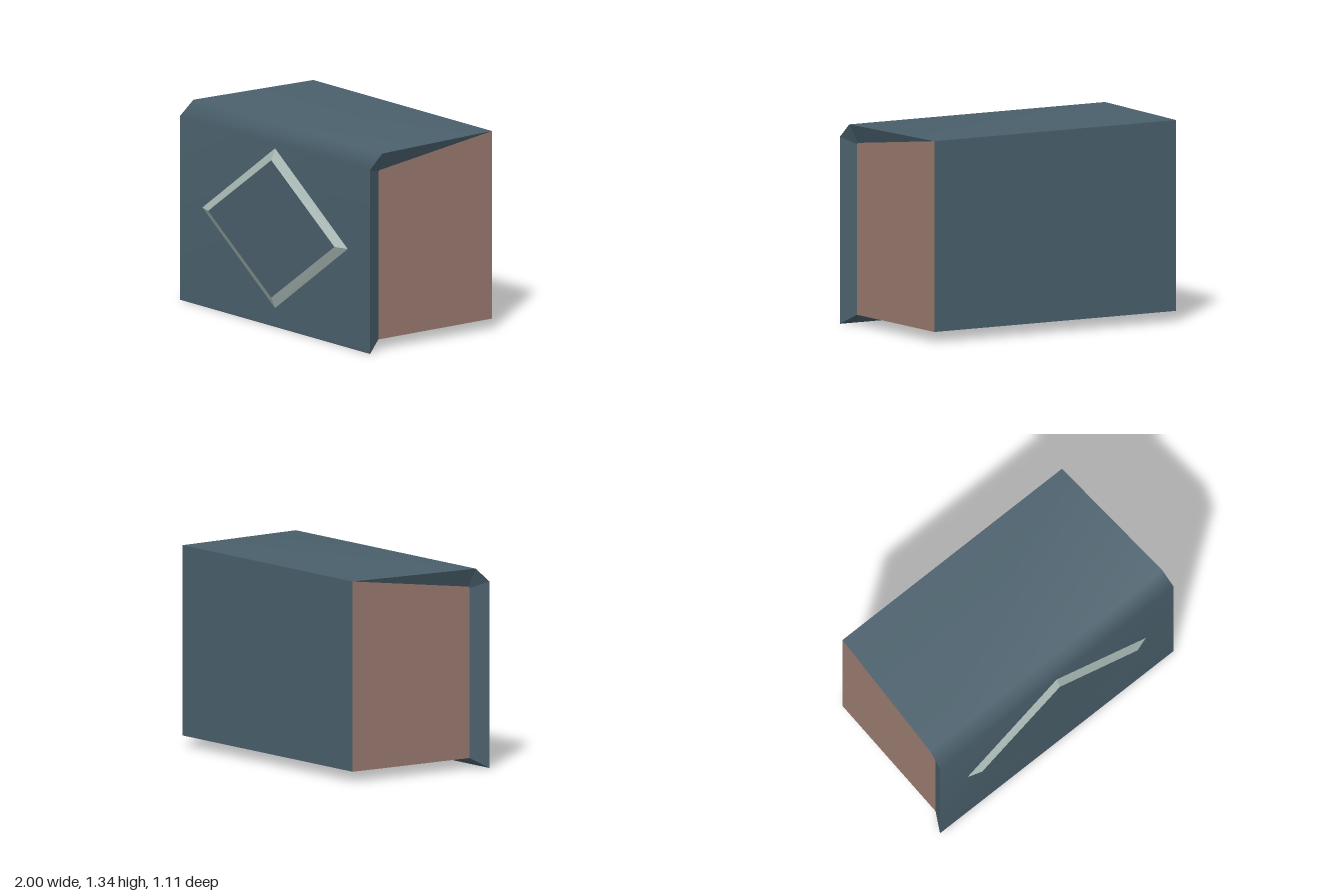
import * as THREE from 'three';

const V = (x, y, z) => [x, y, z];
const mirror = (poly) => poly.map(([x, y, z]) => [-x, y, z]).reverse();

// Flat faces from convex polygons, corners counter-clockwise seen from outside
function facesGeometry(polys) {
  const pos = [];
  for (const p of polys)
    for (let i = 1; i < p.length - 1; i++) pos.push(...p[0], ...p[i], ...p[i + 1]);
  const g = new THREE.BufferGeometry();
  g.setAttribute('position', new THREE.Float32BufferAttribute(pos, 3));
  g.computeVertexNormals();
  return g;
}

// Smooth sheet spanning -x to +x along a profile of points
function sheetGeometry(rows) {
  const pos = [], index = [];
  rows.forEach(([x, y, z], i) => {
    pos.push(-x, y, z, x, y, z);
    const a = i * 2;
    if (i < rows.length - 1) index.push(a, a + 1, a + 3, a, a + 3, a + 2);
  });
  const g = new THREE.BufferGeometry();
  g.setAttribute('position', new THREE.Float32BufferAttribute(pos, 3));
  g.setIndex(index);
  g.computeVertexNormals();
  return g;
}

export function createModel() {
  const group = new THREE.Group();
  const material = (name, color) => {
    const m = new THREE.MeshStandardMaterial({ color });
    m.name = name;
    return m;
  };
  const blue = material('slate blue', 0x4a606c);
  const brown = material('dusty brown', 0x9a7b70);
  const pale = material('pale grey green', 0xaabbb6);
  const add = (name, geometry, mat) => {
    const mesh = new THREE.Mesh(geometry, mat);
    mesh.name = name;
    group.add(mesh);
  };

  // Flared cover edge and the narrower box edge behind it (+x half)
  const outer = [V(1, 0, 0.523), V(1, 1.245, 0.523), V(0.994, 1.34, 0.415), V(0.94, 1.34, -0.555)];
  const inner = [V(0.94, 0.07, 0.405), V(0.94, 1.205, 0.405), V(0.94, 1.215, 0.395), V(0.94, 1.34, -0.555)];
  const backLow = V(0.94, 0.07, -0.555), backHigh = inner[3];
  const flip = ([x, y, z]) => [-x, y, z];

  // Front, chamfered upper edge and top in one smooth sheet
  add('cover', sheetGeometry(outer), blue);

  // Flared rim joining the cover to the sides and the base
  const rim = [];
  for (let i = 0; i < 3; i++) {
    const quad = i < 2
      ? [outer[i], inner[i], inner[i + 1], outer[i + 1]]
      : [outer[2], inner[2], inner[3]];
    rim.push(quad, mirror(quad));
  }
  rim.push([outer[0], flip(outer[0]), flip(inner[0]), inner[0]]);
  add('rim', facesGeometry(rim), blue);

  // Back panel
  add('backPanel', facesGeometry([[backLow, flip(backLow), flip(backHigh), backHigh]]), blue);

  // Side panels and base
  const side = [backLow, backHigh, inner[2], inner[1], inner[0]];
  add('sidePanels', facesGeometry([side, mirror(side)]), brown);
  add('base', facesGeometry([[inner[0], flip(inner[0]), flip(backLow), backLow]]), brown);

  // Raised diamond with a sloping pale border
  const diamond = (w, h, z) =>
    [V(w, 0.668, z), V(0, 0.668 + h, z), V(-w, 0.668, z), V(0, 0.668 - h, z)];
  const foot = diamond(0.768, 0.543, 0.522), crest = diamond(0.665, 0.465, 0.555);
  const border = foot.map((p, i) => {
    const j = (i + 1) % 4;
    return [p, foot[j], crest[j], crest[i]];
  });
  add('diamondBorder', facesGeometry(border), pale);
  add('diamondPanel', facesGeometry([crest]), blue);

  return group;
}
